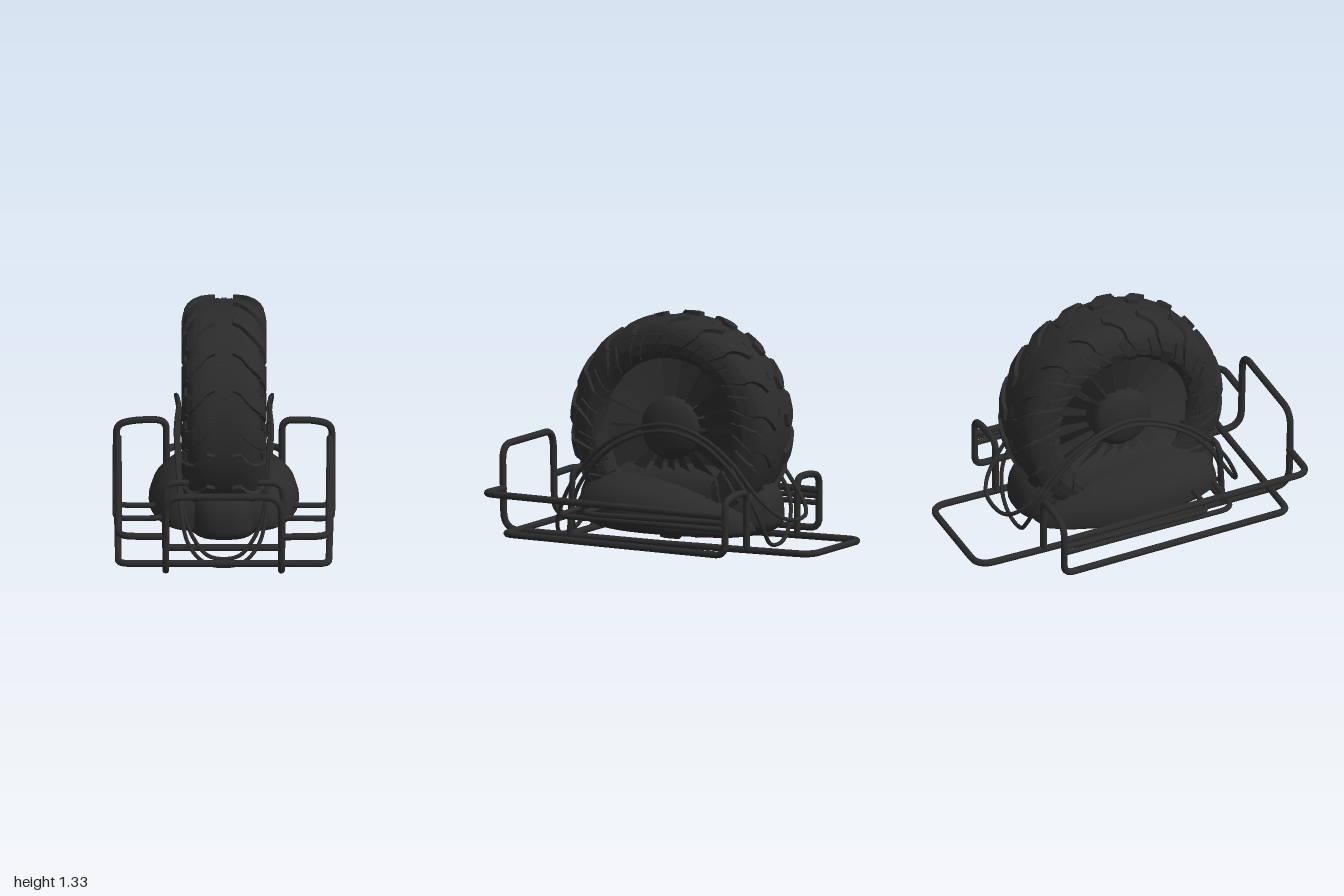
import * as THREE from 'three';

const V = (x, y, z) => new THREE.Vector3(x, y, z);
const AXLE_Y = 0.672;

export function createModel() {
  const black = new THREE.MeshStandardMaterial({ color: 0x2b2b2b, side: THREE.DoubleSide });
  black.name = 'matte black';
  const model = new THREE.Group();
  model.name = 'wheelOnCarrier';

  const add = (name, geometry, parent = model) => {
    const mesh = new THREE.Mesh(geometry, black);
    mesh.name = name;
    parent.add(mesh);
    return mesh;
  };

  // Skin a row of closed cross-sections, with flat end caps
  const loft = (rings, smooth) => {
    const n = rings[0].length, pos = [], idx = [];
    rings.forEach(r => r.forEach(p => pos.push(p.x, p.y, p.z)));
    for (let i = 0; i < rings.length - 1; i++)
      for (let j = 0; j < n; j++) {
        const a = i * n + j, b = i * n + (j + 1) % n;
        idx.push(a, a + n, b, b, a + n, b + n);
      }
    const last = (rings.length - 1) * n;
    for (let j = 1; j < n - 1; j++) idx.push(0, j, j + 1, last, last + j + 1, last + j);
    let g = new THREE.BufferGeometry();
    g.setAttribute('position', new THREE.Float32BufferAttribute(pos, 3));
    g.setIndex(idx);
    if (!smooth) g = g.toNonIndexed();
    g.computeVertexNormals();
    return g;
  };

  // Bent pipe: straight runs with rounded corners
  const pipe = (name, pts, radius = 0.02, bend = 0.06) => {
    const path = new THREE.CurvePath();
    let from = pts[0];
    for (let i = 1; i < pts.length - 1; i++) {
      const toPrev = pts[i - 1].clone().sub(pts[i]), toNext = pts[i + 1].clone().sub(pts[i]);
      const d = Math.min(bend, toPrev.length() * 0.45, toNext.length() * 0.45);
      const a = pts[i].clone().addScaledVector(toPrev.normalize(), d);
      const b = pts[i].clone().addScaledVector(toNext.normalize(), d);
      path.add(new THREE.LineCurve3(from, a));
      path.add(new THREE.QuadraticBezierCurve3(a, pts[i], b));
      from = b;
    }
    path.add(new THREE.LineCurve3(from, pts[pts.length - 1]));
    const segments = Math.ceil(path.getLength() / 0.02);
    return add(name, new THREE.TubeGeometry(path, segments, radius, 10, false));
  };

  // ---- Wheel ----
  const wheel = new THREE.Group();
  wheel.name = 'wheel';
  wheel.position.y = AXLE_Y;
  model.add(wheel);

  // Half profile of the tyre, tread centre to bead: x = width, y = radius
  const half = new THREE.SplineCurve([
    [0, 0.628], [0.08, 0.627], [0.15, 0.614], [0.2, 0.575], [0.222, 0.5], [0.215, 0.445], [0.175, 0.405],
  ].map(p => new THREE.Vector2(...p)));
  const side = half.getPoints(20);
  const profile = [
    ...side.slice().reverse().map(p => new THREE.Vector2(p.y, -p.x)),
    ...side.slice(1).map(p => new THREE.Vector2(p.y, p.x)),
  ];
  add('tyreCarcass', new THREE.LatheGeometry(profile, 72), wheel).rotation.z = -Math.PI / 2;

  // Tread lugs: raised strips of stations [s along profile, angle, half width in angle]
  const lug = (name, stations, height, sx, turn) => {
    const rings = stations.map(([s, ang, w]) => {
      const p = half.getPoint(s), t = half.getTangent(s);
      const at = (h, a) => {
        const x = p.x - t.y * h, r = p.y + t.x * h, th = a + turn;
        return V(sx * x, r * Math.cos(th), r * Math.sin(th));
      };
      return [at(-0.01, ang - w), at(height, ang - w * 0.82), at(height, ang), at(height, ang + w * 0.82), at(-0.01, ang + w)];
    });
    add(name, loft(rings, false), wheel);
  };
  const COUNT = 18, pitch = Math.PI * 2 / COUNT;
  for (const sx of [-1, 1])
    for (let i = 0; i < COUNT; i++) {
      const turn = i * pitch;
      const long = i % 2 ? 0.9 : 0.78;
      lug('treadLug', [[0.11, -0.08, 0.06], [0.2, -0.07, 0.09], [0.28, 0.0, 0.09], [0.38, 0.06, 0.09],
        [0.47, 0.09, 0.1], [0.54, 0.1, 0.11]], 0.022, sx, turn);
      lug('shoulderLug', [[0.5, 0.1, 0.12], [0.58, 0.13, 0.11], [0.68, 0.19, 0.1], [long, 0.26, 0.07]], 0.02, sx, turn);
      lug('sidewallRib', [[0.56, -0.05, 0.05], [0.68, 0.01, 0.06], [0.8, 0.07, 0.07], [0.92, 0.1, 0.06]], 0.014, sx, turn);
      lug('centreSipe', [[0.01, 0, 0.05], [0.04, 0, 0.05]], 0.004, sx, turn);
    }

  // Rim barrel with centre web
  const rim = [[0.405, -0.175], [0.415, -0.12], [0.41, -0.06], [0.05, -0.06], [0.05, 0.06], [0.41, 0.06], [0.415, 0.12], [0.405, 0.175]];
  add('rim', new THREE.LatheGeometry(rim.map(p => new THREE.Vector2(...p)), 64), wheel).rotation.z = -Math.PI / 2;

  // Shallow domed hubs and fan-like twisted spokes on both faces
  const dome = [[0, 0.225], [0.06, 0.22], [0.12, 0.205], [0.16, 0.185], [0.18, 0.16], [0.18, 0.06]];
  for (const sx of [-1, 1]) {
    add('hub', new THREE.LatheGeometry(dome.map(p => new THREE.Vector2(...p)), 40), wheel).rotation.z = -sx * Math.PI / 2;
    for (let i = 0; i < 18; i++) {
      const blade = new THREE.PlaneGeometry(0.09, 0.26, 1, 4);
      const p = blade.attributes.position;
      for (let k = 0; k < p.count; k++) {
        const r = p.getY(k) + 0.285, w = p.getX(k) * (0.5 + (r - 0.155) * 3);
        p.setXYZ(k, sx * (0.145 + w * 0.55), r, w);
      }
      blade.rotateX(i * Math.PI / 9);
      blade.computeVertexNormals();
      add('spoke', blade, wheel);
    }
  }

  // ---- Body ----
  // Egg-shaped side fairing: stations [z, half width, top, bottom]
  const stations = [
    [0.54, 0.25, 0.24, 0.15], [0.53, 0.3, 0.3, 0.13], [0.48, 0.345, 0.365, 0.115], [0.38, 0.39, 0.41, 0.1], [0.24, 0.42, 0.418, 0.088],
    [0.08, 0.43, 0.405, 0.072], [-0.1, 0.41, 0.375, 0.062], [-0.26, 0.365, 0.335, 0.058], [-0.4, 0.305, 0.285, 0.06],
    [-0.5, 0.25, 0.23, 0.075], [-0.54, 0.17, 0.16, 0.1],
  ];
  const fairing = stations.map(([z, w, top, bottom]) => {
    const edge = bottom + (top - bottom) * 0.22;
    return Array.from({ length: 40 }, (_, i) => {
      const a = i / 40 * Math.PI * 2, c = Math.cos(a), s = Math.sin(a);
      const pow = v => Math.sign(v) * Math.abs(v) ** 0.8;
      return V(w * pow(c), edge + pow(s) * (s > 0 ? top - edge : edge - bottom), z);
    });
  });
  add('sideFairing', loft(fairing, true));

  // Rounded central fender under the tyre, showing at both ends
  const fender = new THREE.SphereGeometry(1, 40, 28), fp = fender.attributes.position;
  for (let i = 0; i < fp.count; i++) {
    const v = V(fp.getX(i), fp.getY(i), fp.getZ(i));
    const k = (Math.abs(v.x) ** 3 + Math.abs(v.y) ** 3 + Math.abs(v.z) ** 3) ** (-1 / 3);
    const up = v.y > 0 ? 0.28 : 0.14;
    fp.setXYZ(i, v.x * k * 0.245, 0.18 + v.y * k * up, v.z * k * 0.615);
  }
  fender.computeVertexNormals();
  add('centreFender', fender);

  // ---- Tubular carrier ----
  // Main loop: upright hoop in front, flat frame running out behind
  pipe('mainLoop', [
    V(0, 0.535, 0.98), V(0.33, 0.535, 0.98), V(0.33, 0.05, 0.97), V(0.33, 0.03, 0), V(0.33, 0.025, -0.98),
    V(-0.33, 0.025, -0.98), V(-0.33, 0.03, 0), V(-0.33, 0.05, 0.97), V(-0.33, 0.535, 0.98), V(0, 0.535, 0.98),
  ], 0.02, 0.1);
  // Low outer frame, its side rails turning up and over into the rear hoops
  const lowerHalf = s => [
    V(s * 0.6, 0.065, 0.84), V(s * 0.615, 0.03, -0.57), V(s * 0.615, 0.335, -0.57), V(s * 0.5, 0.36, -0.57),
    V(s * 0.33, 0.36, -0.57), V(s * 0.33, 0.03, -0.57),
  ];
  pipe('lowerFrame', [...lowerHalf(1).reverse(), ...lowerHalf(-1)], 0.02, 0.06);
  pipe('crossBar', [V(-0.34, 0.045, 0.56), V(0.34, 0.045, 0.56)]);

  for (const s of [-1, 1]) {
    pipe('upperRail', [V(s * 0.33, 0.285, 0.97), V(s * 0.6, 0.29, 0.97), V(s * 0.605, 0.25, -0.57)], 0.02, 0.08);
    pipe('middleRail', [V(s * 0.33, 0.2, 0.49), V(s * 0.62, 0.195, 0.49), V(s * 0.62, 0.175, -0.57)], 0.016, 0.08);
    pipe('innerRail', [V(s * 0.33, 0.215, 0.34), V(s * 0.62, 0.215, 0.34), V(s * 0.62, 0.215, -0.57)], 0.016, 0.08);
    pipe('frontHook', [V(s * 0.2, 0.43, 0.52), V(s * 0.335, 0.43, 0.53), V(s * 0.335, 0.04, 0.55)], 0.018, 0.07);
  }

  // ---- Thin guard wires arching over both sides of the wheel ----
  const guard = (name, sidePts, radius) => {
    const left = sidePts.map(([x, y, z]) => V(x, y, z));
    const right = left.map(p => V(-p.x, p.y, p.z)).reverse();
    const curve = new THREE.CatmullRomCurve3([...left, ...right], true);
    add(name, new THREE.TubeGeometry(curve, 200, radius, 8, true));
  };
  guard('outerGuard', [
    [0.1, 0.02, 0.73], [0.2, 0.12, 0.69], [0.245, 0.3, 0.6], [0.265, 0.5, 0.44], [0.275, 0.64, 0.24], [0.26, 0.705, 0],
    [0.275, 0.65, -0.25], [0.265, 0.51, -0.44], [0.25, 0.32, -0.6], [0.19, 0.22, -0.69], [0.1, 0.18, -0.73],
  ], 0.012);
  guard('innerGuard', [
    [0.08, 0.02, 0.63], [0.17, 0.12, 0.61], [0.23, 0.28, 0.56], [0.25, 0.48, 0.41], [0.26, 0.61, 0.22], [0.255, 0.665, 0],
    [0.26, 0.61, -0.24], [0.255, 0.47, -0.42], [0.24, 0.28, -0.56], [0.17, 0.12, -0.6], [0.08, 0.03, -0.6],
  ], 0.012);

  return model;
}
